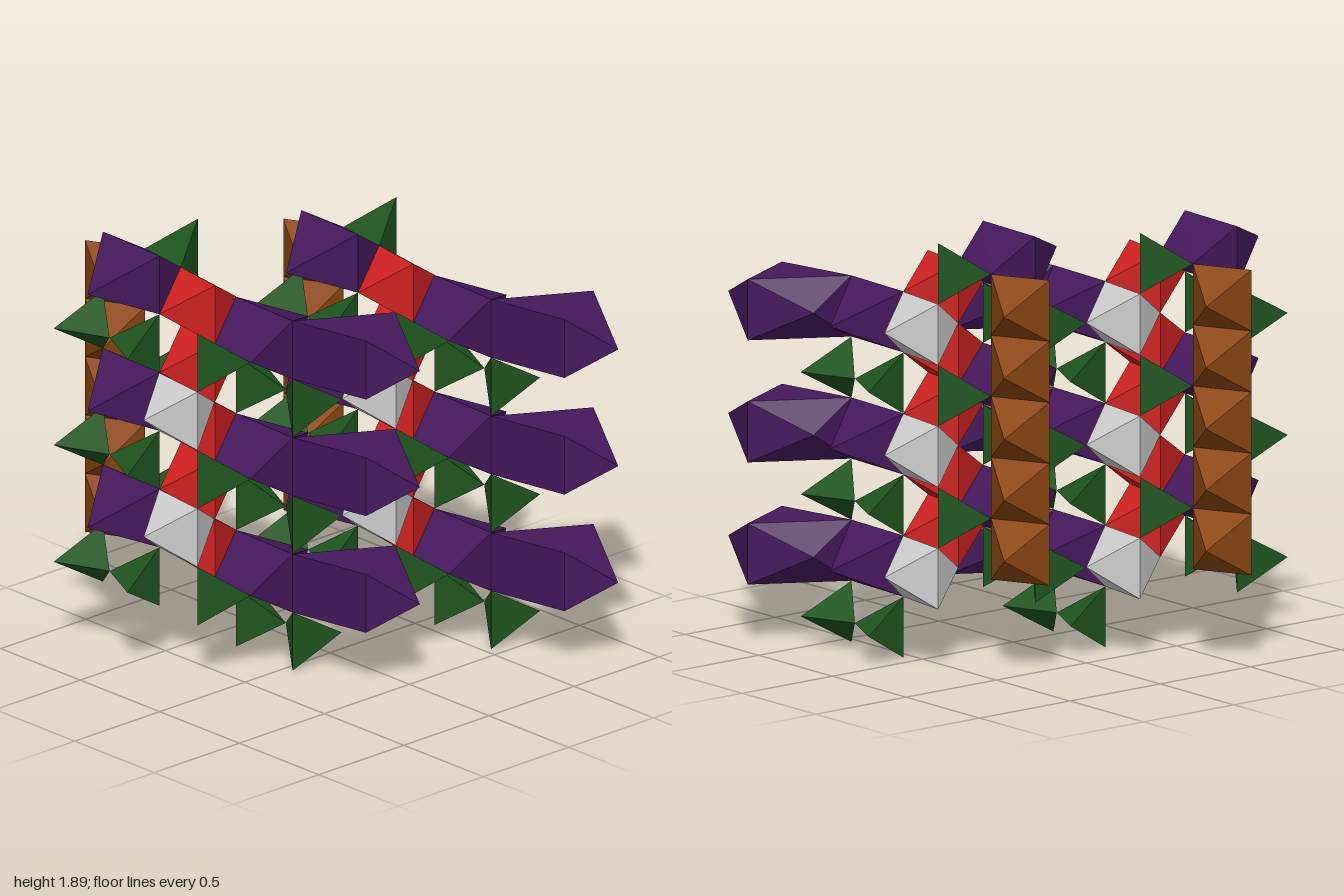
import * as THREE from 'three';
import { ConvexGeometry } from 'three/addons/geometries/ConvexGeometry.js';

const H = 0.2695;           // height of one layer
const SHIFT = [0.793, 0.399]; // plan offset of the second column

// Corner sites in plan (x, z)
const S = {
  brownBack: [-0.503, -1.003], brownFront: [-0.38, -0.757],
  brownRight: [-0.276, -0.974], brownLeft: [-0.61, -0.775],
  redLeft: [-0.624, -0.404], redRight: [-0.243, -0.329],
  redBack: [-0.414, -0.494], redFront: [-0.455, -0.236],
  cap: [-0.926, -0.534], greenEdge: [-0.21, -0.606],
  greyTip: [-0.048, -0.44], tipA: [-0.852, -0.362], tipB: [-0.838, -0.84],
  outerA: [-0.19, 0.43], outerB: [0.13, 0.27],
  outerTip: [-0.026, 0.593], outerInner: [-0.048, 0.042],
};
// Point mirror of a site through the middle of the red chain
const CX = -0.435, CZ = -0.366;
const inv = (s) => [2 * CX - s[0], 2 * CZ - s[1]];
// The corner that the paired wing blocks share with the outer block
const wing = inv(S.brownLeft);
// Far cap of the neighbouring column, and its mirror
const farCap = [S.cap[0] + SHIFT[0], S.cap[1] + SHIFT[1]];

const paint = (color) => new THREE.MeshStandardMaterial({ color, flatShading: true });
const MAT = {
  purple: paint(0x45185c), red: paint(0xcc2020), green: paint(0x1f541f),
  brown: paint(0x8a4510), grey: paint(0xcccccc),
};

// Convex block: 'edges' are sites with corners above and below, 'mids' sites at mid height
function block(edges, mids) {
  const pts = [];
  for (const [x, z] of edges)
    for (const y of [-H / 2, H / 2]) pts.push(new THREE.Vector3(x, y, z));
  for (const [x, z] of mids) pts.push(new THREE.Vector3(x, 0, z));
  return new ConvexGeometry(pts);
}

const UPPER = [2.5, 4.5, 6.5], LOWER = [1.5, 3.5, 5.5];
const CHAIN = [2, 3, 4, 5, 6], BASE = [0.5, 2.5, 4.5];

// name, material, vertical edges, mid-height corners, layers
const PARTS = [
  ['brownChain', 'brown', [S.brownBack, S.brownFront], [S.brownRight, S.brownLeft], CHAIN],
  ['redChain', 'red', [S.redBack, S.redFront], [S.redLeft, S.redRight], CHAIN],
  ['purpleOuterBlock', 'purple', [wing, S.outerA, S.outerB], [S.outerTip, S.outerInner], LOWER],
];
// Parts that occur in point-mirrored pairs: last two are the layers of each half
const PAIRS = [
  ['purpleBlock', 'purple', [S.brownLeft, S.redLeft], [S.cap, S.brownFront, S.redBack], UPPER, LOWER],
  ['greenTetrahedron', 'green', [S.greenEdge], [S.brownFront, S.redBack], UPPER, LOWER],
  ['greenSideTetrahedron', 'green', [S.redLeft], [inv(farCap), S.tipA], LOWER, BASE],
  ['greenEndTetrahedron', 'green', [S.brownLeft], [inv(farCap), S.tipB], LOWER, BASE],
  ['greyOctahedron', 'grey', [S.greenEdge, S.redRight], [S.greyTip, S.redBack], LOWER, [2.5, 4.5]],
];
for (const [name, mat, edges, mids, layers, mirrored] of PAIRS) {
  PARTS.push([name, mat, edges, mids, layers]);
  PARTS.push([name + 'Mirrored', mat, edges.map(inv), mids.map(inv), mirrored]);
}

export function createModel() {
  const model = new THREE.Group();
  model.name = 'crystalLattice';
  const columns = [0, 1].map((i) => {
    const column = new THREE.Group();
    column.name = i ? 'frontColumn' : 'backColumn';
    column.position.set(i * SHIFT[0], 0, i * SHIFT[1]);
    model.add(column);
    return column;
  });
  for (const [name, mat, edges, mids, layers] of PARTS) {
    const geometry = block(edges, mids);
    for (const column of columns)
      for (const layer of layers) {
        const mesh = new THREE.Mesh(geometry, MAT[mat]);
        mesh.name = name;
        mesh.position.y = layer * H;
        column.add(mesh);
      }
  }
  return model;
}
